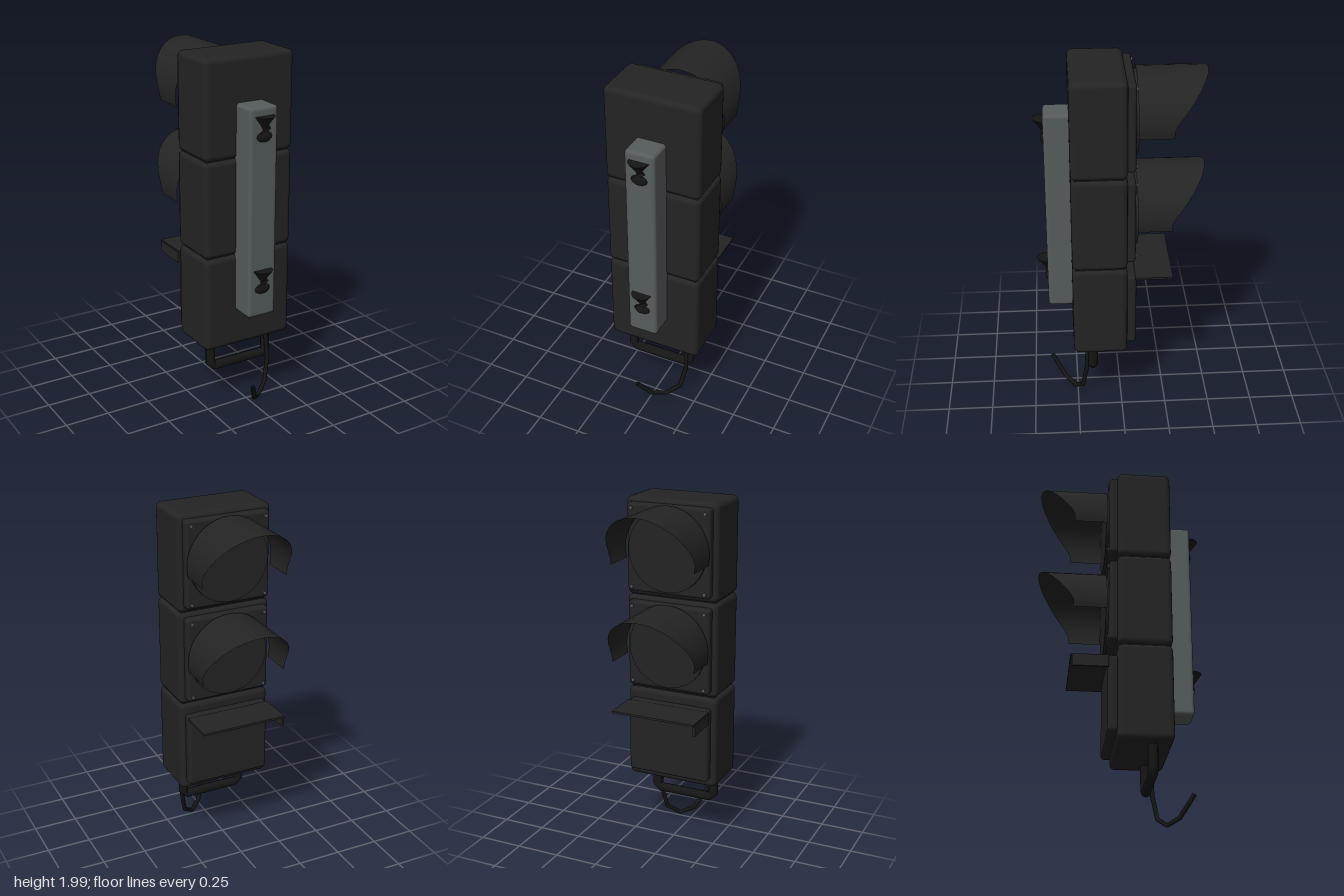
import * as THREE from 'three';
import { RoundedBoxGeometry } from 'three/addons/geometries/RoundedBoxGeometry.js';

function material(name, color, side = THREE.FrontSide) {
  const m = new THREE.MeshStandardMaterial({ color, side });
  m.name = name;
  return m;
}

// Curve with straight runs between the given points
class Polyline extends THREE.Curve {
  constructor(points) {
    super();
    this.points = points.map((p) => new THREE.Vector3(...p));
  }
  getPoint(t, target = new THREE.Vector3()) {
    const s = t * (this.points.length - 1);
    const i = Math.min(Math.floor(s + 1e-9), this.points.length - 2);
    return target.lerpVectors(this.points[i], this.points[i + 1], s - i);
  }
  getPointAt(t, target) { return this.getPoint(t, target); }
  getTangentAt(t, target = new THREE.Vector3()) {
    const a = this.getPoint(Math.max(t - 0.01, 0));
    return target.copy(this.getPoint(Math.min(t + 0.01, 1))).sub(a).normalize();
  }
}

export function createModel() {
  const model = new THREE.Group();
  model.name = 'trafficLight';
  const black = material('housing black', 0x242424);
  const hoodBlack = material('hood black', 0x242424, THREE.DoubleSide);
  const dark = material('fitting black', 0x161616, THREE.DoubleSide);
  const grey = material('bracket grey', 0x565c5c);

  const add = (name, geometry, mat, x = 0, y = 0, z = 0, parent = model) => {
    const mesh = new THREE.Mesh(geometry, mat);
    mesh.name = name;
    mesh.position.set(x, y, z);
    parent.add(mesh);
    return mesh;
  };
  const rounded = (w, h, d, r) => new RoundedBoxGeometry(w, h, d, 2, r);

  // Three stacked housings with recessed seals between them
  const centres = [0.65, 1.19, 1.73];
  for (const y of centres) add('housing', rounded(0.54, 0.54, 0.3, 0.03), black, 0, y, 0.12);
  for (const y of [0.92, 1.46]) add('seal', new THREE.BoxGeometry(0.5, 0.04, 0.26), black, 0, y, 0.12);

  // Hood: open cylinder whose outer rim is cut back towards the bottom
  const R = 0.245;
  const hood = new THREE.CylinderGeometry(R, R, 1, 22, 1, true, -1.797, 3.594);
  hood.rotateX(-Math.PI / 2);
  const p = hood.attributes.position;
  for (let i = 0; i < p.count; i++) {
    const outer = p.getZ(i) < 0;
    p.setZ(i, outer ? -0.27 - 0.19 * Math.max(p.getY(i), 0) / R : -0.085);
  }

  // Round signals on the two upper housings
  for (const y of centres.slice(1)) {
    const unit = new THREE.Group();
    unit.name = 'signal';
    unit.position.y = y + 0.003;
    model.add(unit);
    add('door', rounded(0.485, 0.485, 0.06, 0.018), black, 0, 0, -0.045, unit);
    const lens = new THREE.CylinderGeometry(0.226, 0.226, 0.03, 32);
    add('lens', lens.rotateX(Math.PI / 2), black, 0, 0, -0.075, unit);
    add('hood', hood, hoodBlack, 0, 0, 0, unit);
    for (const sx of [-1, 1]) for (const sy of [-1, 1]) {
      const screw = new THREE.CylinderGeometry(0.01, 0.01, 0.01, 8);
      add('screw', screw.rotateX(Math.PI / 2), grey, sx * 0.215, sy * 0.215, -0.078, unit);
    }
  }

  // Flat lower panel with a shelf folded down on one side
  add('lowerDoor', rounded(0.485, 0.43, 0.06, 0.018), black, 0, 0.645, -0.05);
  add('shelf', new THREE.BoxGeometry(0.49, 0.012, 0.205), black, 0, 0.85, -0.1775);
  add('shelfLip', new THREE.BoxGeometry(0.012, 0.064, 0.195), black, -0.244, 0.818, -0.1725);

  // Mounting rail
  add('mountingRail', rounded(0.17, 1.165, 0.16, 0.02), grey, 0, 1.175, 0.325);

  // Small claw on the rail: half funnel, slanted neck and half ball
  const funnel = new THREE.LatheGeometry(
    [[0.006, -0.05], [0.014, -0.025], [0.034, 0.005], [0.057, 0.035]].map((a) => new THREE.Vector2(...a)),
    6, -Math.PI / 2, Math.PI);
  const ball = new THREE.SphereGeometry(0.047, 10, 6).scale(1, 0.62, 0.3);
  for (const y of [0.83, 1.675]) {
    const claw = new THREE.Group();
    claw.name = 'claw';
    claw.position.set(0, y, 0.405);
    model.add(claw);
    add('clawTop', funnel, dark, 0, 0, 0, claw);
    const cap = new THREE.CircleGeometry(0.057, 6, 0, Math.PI).rotateX(Math.PI / 2);
    add('clawCap', cap, dark, 0, 0.035, 0, claw);
    const neck = add('clawNeck', new THREE.BoxGeometry(0.07, 0.018, 0.015), dark, 0, -0.045, 0.002, claw);
    neck.rotation.z = 0.6;
    add('clawFoot', ball, dark, 0, -0.074, 0, claw);
  }

  // Carrying handle under the housing
  const handle = new Polyline([
    [-0.183, 0.4, 0.162], [-0.183, 0.25, 0.162], [-0.158, 0.227, 0.162],
    [0.158, 0.227, 0.162], [0.18, 0.25, 0.162], [0.18, 0.4, 0.162]]);
  add('handle', new THREE.TubeGeometry(handle, 5, 0.027, 8), dark);

  // Loose cable hanging from the handle
  const cable = new Polyline([
    [0.165, 0.37, 0.19], [0.173, 0.21, 0.2], [0.145, 0.075, 0.222],
    [0.078, 0.025, 0.265], [0.01, 0.047, 0.322], [-0.047, 0.162, 0.396]]);
  add('cable', new THREE.TubeGeometry(cable, 5, 0.013, 6), dark);

  return model;
}
